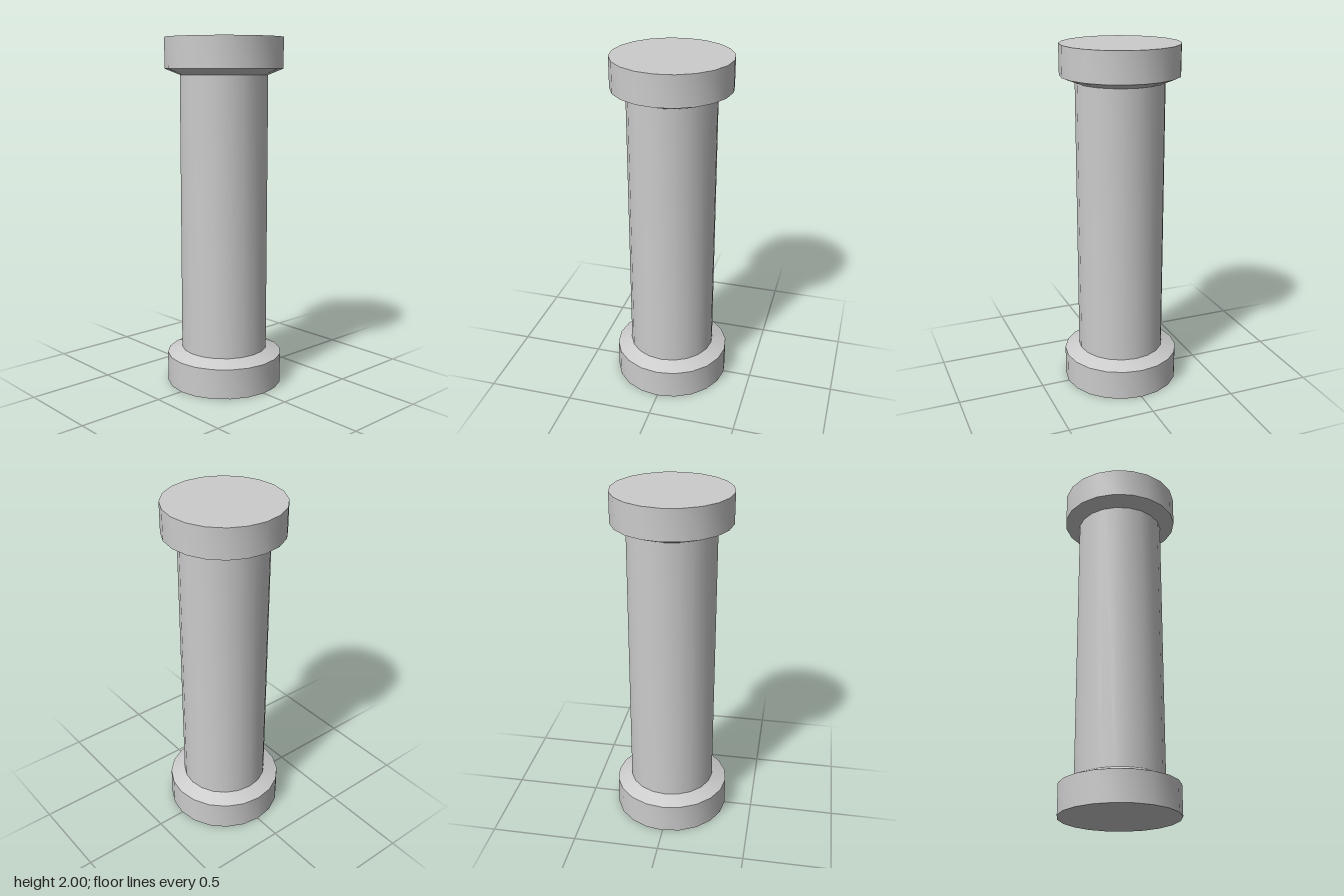
import * as THREE from 'three';
import { toCreasedNormals } from 'three/addons/utils/BufferGeometryUtils.js';

const SIDES = 20;
const OUTER = 0.335, INNER = 0.25; // plinth and shaft radii
const BAND = 0.173, SLOPE = 0.034; // heights of the plinth band and its bevel

export function createModel() {
  const model = new THREE.Group();
  model.name = 'column';
  const material = new THREE.MeshStandardMaterial({ color: 0xcccccc });

  function addTurned(name, profile) {
    const points = profile.map(([r, y]) => new THREE.Vector2(r, y));
    const geometry = toCreasedNormals(new THREE.LatheGeometry(points, SIDES), Math.PI / 7);
    const mesh = new THREE.Mesh(geometry, material);
    mesh.name = name;
    model.add(mesh);
    return mesh;
  }

  // Flat disc with a straight band and a bevel rising to the shaft
  const plinth = [[0, 0], [OUTER, 0], [OUTER, BAND], [INNER, BAND + SLOPE]];
  addTurned('base', plinth);

  // The capital is the base turned upside down
  const capital = addTurned('capital', plinth);
  capital.rotation.x = Math.PI;
  capital.position.y = 2;

  // Plain shaft between the two bevels
  addTurned('shaft', [[INNER, BAND + SLOPE], [INNER, 2 - BAND - SLOPE]]);

  return model;
}
